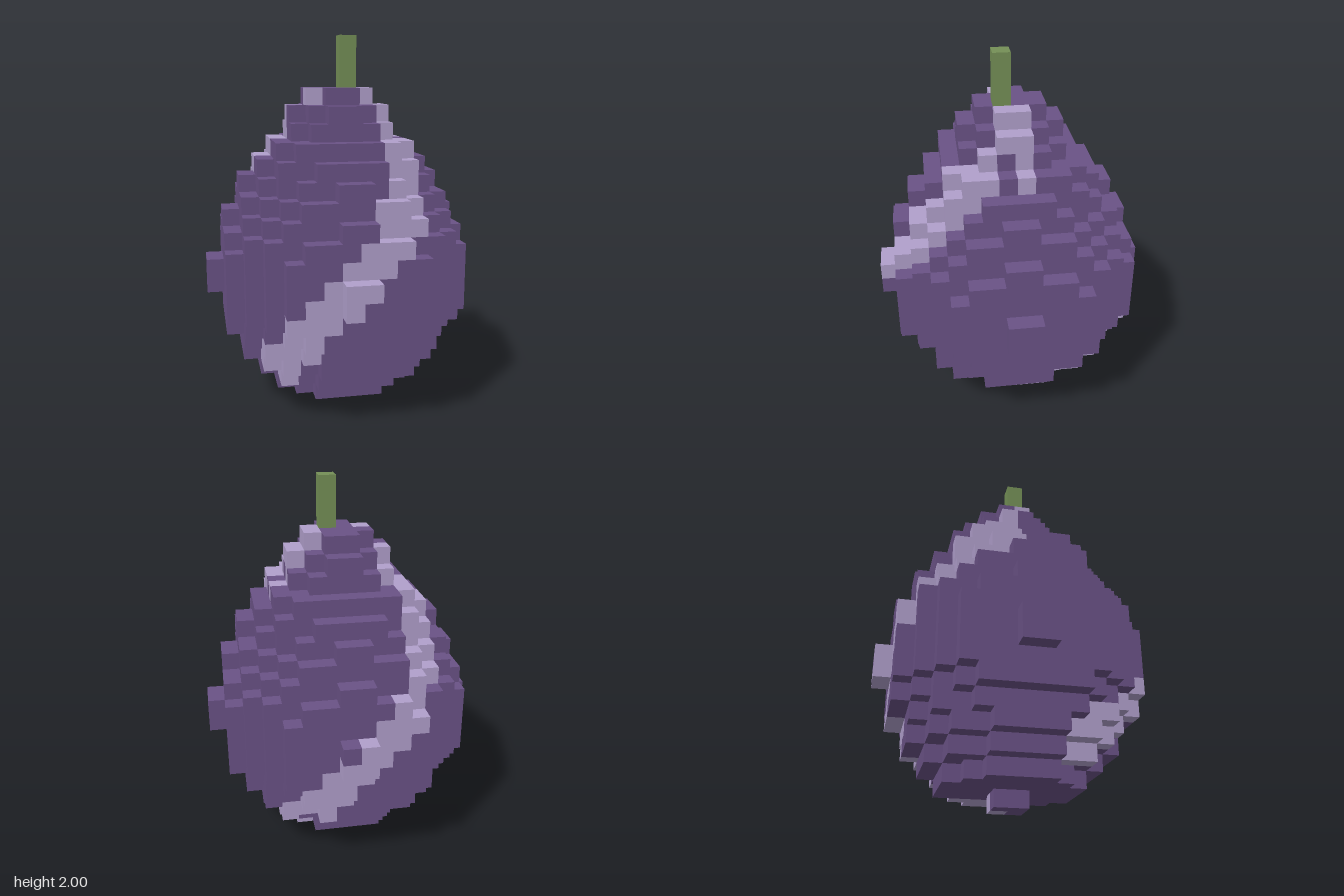
import * as THREE from 'three';
import { mergeGeometries } from 'three/addons/utils/BufferGeometryUtils.js';

const U = 2 / 22; // edge of one block

// Squared radius, in blocks, of each round layer from the base up
const LAYERS = [1, 14.6, 25, 34, 41.5, 49.5, 55, 57, 57, 55, 51, 43.5, 38, 31.5, 25, 18.6, 12, 7, 3.3];

// Stripe extent [from, to] across each layer, seen from its own side
const FRONT = [null, null, [-4, -3], [-5, -3], [-5, -2], [-4, -2], [-4, -1], [-3, 0], [-2, 1],
  [-1, 2], [0, 3], [1, 4], [1, 4], [2, 4], [2, 4], [2, 4], [2, 3], [2, 3], [1, 2]];
const BACK = [[-1, 0], [-4, -2], [-4, -3], [-4, -1], [-3, 0], [-3, 0], [-2, 1], [-1, 2], [0, 3],
  [1, 4], [2, 4], [3, 5], [3, 5], [3, 5], [3, 5], [3, 4], [2, 3], [2, 3], null];

const inside = (x, row, z) => row >= 0 && row < LAYERS.length && x * x + z * z <= LAYERS[row];
const within = (range, v) => range !== null && v > range[0] && v < range[1];

function isStripe(x, row, z) {
  // Near the crown the stripes curl past the middle
  if (row === 18) return (x > 1 && Math.abs(z) < 1) || (x < -1 && z > 0 && z < 1);
  if (row >= 15 && x > 0 && z > -1 && z < 0) return within([2, 4], x);
  if ((row === 15 || row === 16) && z > 0 && z < 1) return false;
  return z > 0 ? within(FRONT[row], x) : within(BACK[row], -x);
}

// The six block faces: outward direction and the turn that aims a plane that way
const FACES = [
  [1, 0, 0, 0, Math.PI / 2], [-1, 0, 0, 0, -Math.PI / 2],
  [0, 1, 0, -Math.PI / 2, 0], [0, -1, 0, Math.PI / 2, 0],
  [0, 0, 1, 0, 0], [0, 0, -1, 0, Math.PI],
].map(([x, y, z, rx, ry]) => ({
  x, y, z,
  plane: new THREE.PlaneGeometry(U, U).rotateX(rx).rotateY(ry).translate(x * U / 2, y * U / 2, z * U / 2),
}));

export function createModel() {
  const group = new THREE.Group();
  group.name = 'blockFruit';
  const skin = new THREE.MeshStandardMaterial({ name: 'purple skin', color: 0x6a5286 });
  const pale = new THREE.MeshStandardMaterial({ name: 'pale lilac', color: 0xb09fcb });
  const green = new THREE.MeshStandardMaterial({ name: 'stem green', color: 0x748f56 });

  // Keep only the exposed faces of the blocks, sorted by colour
  const body = [], stripes = [];
  for (let row = 0; row < LAYERS.length; row++) {
    for (let x = -7.5; x < 8; x++) {
      for (let z = -7.5; z < 8; z++) {
        if (!inside(x, row, z)) continue;
        const target = isStripe(x, row, z) ? stripes : body;
        for (const f of FACES) {
          if (inside(x + f.x, row + f.y, z + f.z)) continue;
          target.push(f.plane.clone().translate(x * U, (row + 0.5) * U, z * U));
        }
      }
    }
  }

  const add = (name, geometry, material) => {
    const mesh = new THREE.Mesh(geometry, material);
    mesh.name = name;
    group.add(mesh);
    return mesh;
  };
  add('fruitBody', mergeGeometries(body), skin);
  add('spiralStripes', mergeGeometries(stripes), pale);

  // Square stem, one block off centre
  add('stem', new THREE.BoxGeometry(U, 3 * U, U), green).position.set(U / 2, 20.5 * U, U / 2);
  return group;
}
